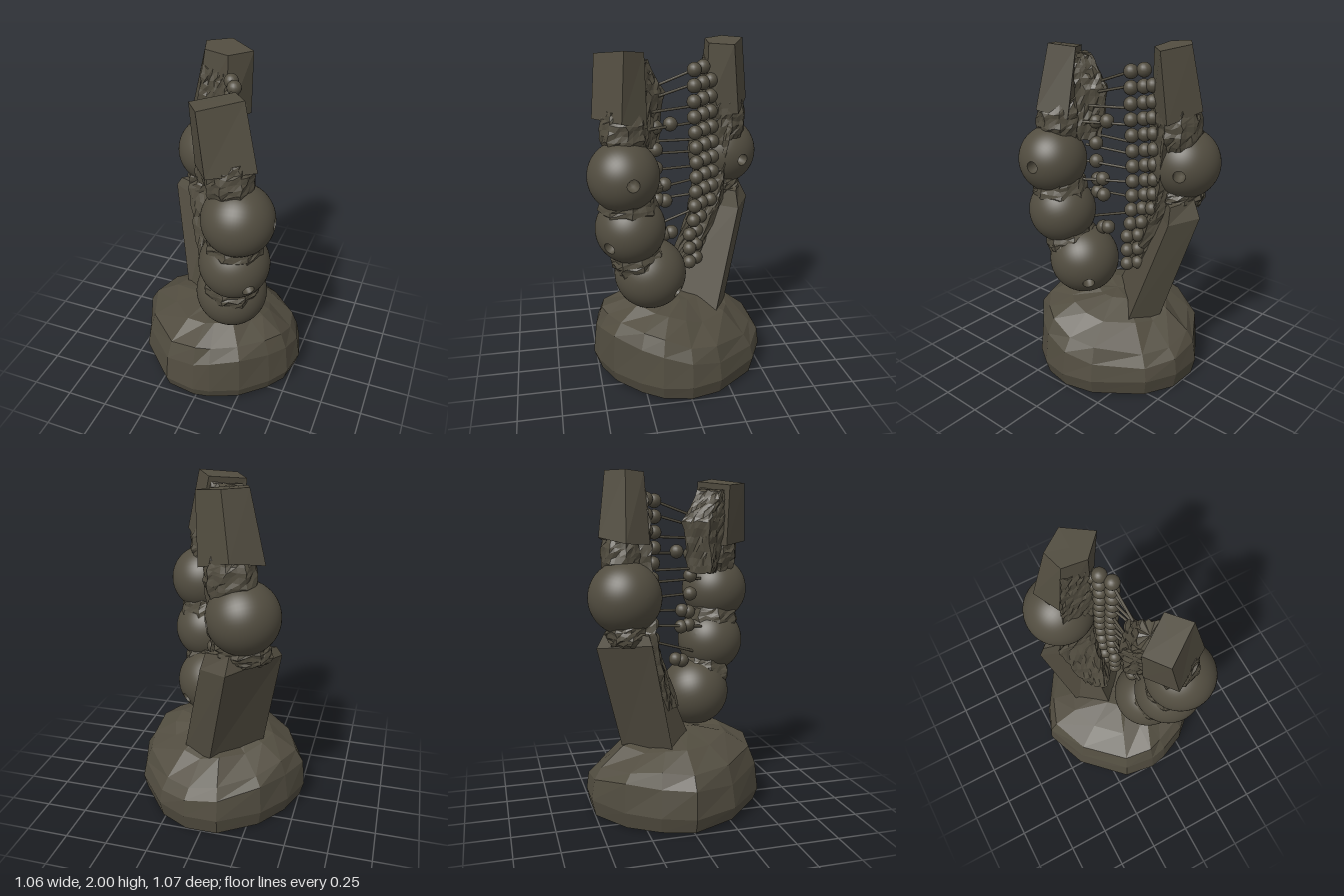
import * as THREE from 'three';

const stone = new THREE.MeshStandardMaterial({ color: 0x524d40, flatShading: true });
stone.name = 'dark stone';
const smoothStone = new THREE.MeshStandardMaterial({ color: 0x524d40 });
smoothStone.name = 'dark polished stone';

// Position-based noise in -1..1
function noise(x, y, z) {
  const s = Math.sin(x * 127.1 + y * 311.7 + z * 74.7) * 43758.5453;
  return (s - Math.floor(s)) * 2 - 1;
}

// Skin a stack of rings (points run from +x towards +z), capped at both ends.
// detail subdivides the walls, rough jitters the points.
function loft(name, keys, detail = 1, rough = 0) {
  const divide = (list, closed) => {
    const out = [];
    const n = closed ? list.length : list.length - 1;
    for (let i = 0; i < n; i++) {
      for (let k = 0; k < detail; k++) out.push([list[i], list[(i + 1) % list.length], k / detail]);
    }
    if (!closed) out.push([list[n], list[n], 0]);
    return out;
  };
  const around = keys.map((ring) => divide(ring.map((p) => new THREE.Vector3(...p)), true)
    .map(([a, b, t]) => a.clone().lerp(b, t)));
  const rings = divide(around, false).map(([a, b, t]) => a.map((p, i) => {
    const q = p.clone().lerp(b[i], t);
    const { x, y, z } = q;
    q.x += rough * noise(x, y, z);
    q.y += rough * noise(y, z, x);
    q.z += rough * noise(z, x, y);
    return q;
  }));
  const pos = [];
  const tri = (...v) => v.forEach((p) => pos.push(p.x, p.y, p.z));
  const n = rings[0].length;
  const middle = (ring) => ring.reduce((s, p) => s.add(p), new THREE.Vector3()).divideScalar(n);
  const low = rings[0], high = rings[rings.length - 1];
  const lowMid = middle(low), highMid = middle(high);
  for (let i = 0; i < n; i++) {
    const j = (i + 1) % n;
    for (let r = 0; r < rings.length - 1; r++) {
      const a = rings[r], b = rings[r + 1];
      tri(a[i], b[i], a[j]);
      tri(a[j], b[i], b[j]);
    }
    tri(lowMid, low[i], low[j]);
    tri(highMid, high[j], high[i]);
  }
  const geo = new THREE.BufferGeometry();
  geo.setAttribute('position', new THREE.Float32BufferAttribute(pos, 3));
  geo.computeVertexNormals();
  const mesh = new THREE.Mesh(geo, stone);
  mesh.name = name;
  return mesh;
}

// Rough boulder-like neck between stacked pieces
function neck(name, x, y, z, rx, h, rz) {
  const keys = [[-1, 0.8], [-0.3, 1], [0.4, 0.95], [1, 0.75]].map(([t, s]) =>
    Array.from({ length: 8 }, (_, i) => {
      const a = (i / 8) * Math.PI * 2;
      return [x + Math.cos(a) * rx * s, y + (t * h) / 2, z + Math.sin(a) * rz * s];
    }));
  return loft(name, keys, 3, 0.008);
}

// Ball with a drilled hole along a direction
function drilledBall(name, center, r, dir) {
  const hole = 0.035;
  const a0 = Math.asin(hole / r);
  const pts = [];
  for (let i = 0; i <= 32; i++) {
    const a = -Math.PI / 2 + (i / 32) * (Math.PI - a0);
    pts.push(new THREE.Vector2(Math.max(0, Math.cos(a) * r), Math.sin(a) * r));
  }
  pts.push(pts[32].clone(), new THREE.Vector2(hole * 0.95, r - 0.08), new THREE.Vector2(0, r - 0.08));
  const mesh = new THREE.Mesh(new THREE.LatheGeometry(pts, 48), smoothStone);
  mesh.quaternion.setFromUnitVectors(new THREE.Vector3(0, 1, 0), new THREE.Vector3(...dir).normalize());
  mesh.position.set(...center);
  mesh.name = name;
  return mesh;
}

// Faceted boulder base, higher towards the front, falling away on two opposite corners
function base() {
  const outline = [[0.53, 0], [0.5, 0.17], [0.42, 0.29], [0.27, 0.43], [0.1, 0.505], [0, 0.525], [-0.19, 0.495],
    [-0.43, 0.26], [-0.53, 0], [-0.46, -0.19], [-0.33, -0.37], [-0.1, -0.52], [0.1, -0.52], [0.28, -0.43], [0.48, -0.18]];
  const levels = [[0.015, 0.955, 0.03], [0.1, 1, 0], [0.29, 0.965, 0.08], [0.365, 0.88, 0.11], [0.435, 0.6, 0.08], [0.465, 0.25, 0.04]];
  return loft('base', levels.map(([y, s, tilt], k) => outline.map(([x, z]) => {
    const upper = k > 1 ? 1 : 0;
    const w = upper * 0.014 * noise(x, y, z);
    const drop = upper * 0.25 * Math.max(0, (Math.abs(x - z) / Math.SQRT2) * s - 0.2);
    return [x * (s + w), y + z * tilt + w - drop, z * (s + w)];
  })));
}

export function createModel() {
  const g = new THREE.Group();
  g.name = 'sculpture';
  g.add(base());

  // Back column: leaning block, rough spine, ball and top block
  g.add(loft('backLowerBlock', [
    [[0.185, 0.37, -0.21], [-0.09, 0.37, 0.11], [-0.265, 0.37, -0.06], [0, 0.37, -0.31]],
    [[0.03, 1.0, -0.38], [-0.15, 1.0, -0.15], [-0.4, 1.07, -0.22], [-0.14, 1.02, -0.48]],
    [[0.0, 1.1, -0.37], [-0.15, 1.1, -0.18], [-0.37, 1.12, -0.23], [-0.15, 1.12, -0.43]],
  ]));
  g.add(loft('backRoughFace', [
    [[0.0, 0.64, -0.08], [-0.1, 0.64, 0.02], [-0.2, 0.64, -0.07], [-0.06, 0.64, -0.25]],
    [[0.0, 1.05, -0.27], [-0.08, 1.05, -0.13], [-0.3, 1.1, -0.17], [-0.15, 1.1, -0.4]],
    [[0.0, 1.3, -0.3], [-0.06, 1.3, -0.18], [-0.25, 1.3, -0.18], [-0.2, 1.3, -0.4]],
    [[0.03, 1.62, -0.34], [-0.05, 1.62, -0.18], [-0.23, 1.62, -0.18], [-0.2, 1.62, -0.4]],
    [[0.02, 1.86, -0.33], [-0.06, 1.86, -0.2], [-0.2, 1.9, -0.2], [-0.18, 1.9, -0.36]],
  ], 8, 0.008));
  g.add(neck('backLowerNeck', -0.2, 1.12, -0.32, 0.17, 0.14, 0.12));
  g.add(drilledBall('backBall', [-0.2, 1.31, -0.325], 0.207, [0.18, -0.02, -0.085]));
  g.add(neck('backUpperNeck', -0.13, 1.54, -0.33, 0.15, 0.24, 0.12));
  g.add(loft('backTopBlock', [
    [[0.04, 1.58, -0.36], [-0.05, 1.58, -0.19], [-0.24, 1.6, -0.19], [-0.32, 1.61, -0.34], [-0.155, 1.64, -0.46]],
    [[0.06, 1.975, -0.32], [-0.05, 1.975, -0.2], [-0.19, 1.99, -0.21], [-0.225, 2.0, -0.32], [-0.1, 2.0, -0.41]],
  ]));

  // Front column: three balls, rough necks and top block
  g.add(drilledBall('frontLowerBall', [0.125, 0.667, 0.18], 0.212, [0.12, -0.08, -0.14]));
  g.add(neck('frontLowerNeck', 0.15, 0.79, 0.25, 0.17, 0.2, 0.165));
  g.add(drilledBall('frontMiddleBall', [0.183, 0.98, 0.3], 0.202, [0.127, -0.06, 0.13]));
  g.add(neck('frontMiddleNeck', 0.19, 1.13, 0.31, 0.17, 0.2, 0.17));
  g.add(drilledBall('frontUpperBall', [0.214, 1.3, 0.336], 0.202, [0.2, 0, -0.03]));
  g.add(neck('frontUpperNeck', 0.16, 1.54, 0.32, 0.14, 0.24, 0.14));
  g.add(loft('frontTopBlock', [
    [[0.32, 1.61, 0.35], [0.09, 1.6, 0.49], [-0.03, 1.58, 0.33], [0.22, 1.56, 0.2]],
    [[0.235, 1.975, 0.32], [0.035, 1.945, 0.46], [-0.055, 1.93, 0.335], [0.14, 1.955, 0.2]],
  ]));
  g.add(loft('frontRoughFace', [
    [[0.15, 1.42, 0.2], [0.05, 1.42, 0.3], [-0.07, 1.42, 0.22], [0.04, 1.42, 0.11]],
    [[0.15, 1.72, 0.2], [0.0, 1.72, 0.34], [-0.1, 1.72, 0.2], [0.02, 1.72, 0.07]],
    [[0.14, 1.92, 0.22], [0.02, 1.9, 0.35], [-0.05, 1.9, 0.28], [0.04, 1.9, 0.17]],
  ], 7, 0.008));

  // Strings of beads hanging along the back column
  const beadGeo = new THREE.SphereGeometry(0.042, 18, 12);
  const bead = (name, x, y, z) => {
    const m = new THREE.Mesh(beadGeo, smoothStone);
    m.position.set(x, y, z);
    m.name = name;
    g.add(m);
  };
  // The strings bow back around mid height and forward near the bottom
  const bow = (y) => {
    if (y < 0.9) return -0.08;
    return y < 1.6 ? -0.1 - 0.018 * Math.sin((y - 0.9) * 4.5) : -0.1;
  };
  for (let i = 0; i < 14; i++) {
    const y = 0.67 + i * 0.09;
    bead('outerBead', 0.025, y, bow(y));
    bead('middleBead', -0.015, y + 0.01, bow(y) - (y < 1.05 ? 0.05 : 0.06));
    if (i > 3 && i < 13) bead('innerBead', -0.03, y + 0.02, bow(y) - 0.11);
  }

  // Beads close to the front column
  for (const [y, z] of [[1.545, 0.045], [1.53, 0.13], [1.4, 0.13], [1.29, 0.13], [1.19, 0.08], [1.18, 0.12],
    [1.09, 0.075], [1.1, 0.12], [0.89, 0.04], [0.88, 0.08]]) {
    bead('frontBead', 0.06, y, z);
  }

  // Thin strands spanning the gap
  const strands = [[1.84, 1.73], [1.76, 1.68], [1.635, 1.62], [1.54, 1.53], [1.44, 1.445], [1.37, 1.38],
    [1.28, 1.29], [1.2, 1.18], [1.11, 1.09], [1.01, 0.92]];
  strands.forEach(([yBack, yFront], i) => {
    const curve = new THREE.LineCurve3(
      new THREE.Vector3(0.02, yBack, -0.1), new THREE.Vector3(0.04 + 0.03 * (i % 4), yFront, 0.2));
    const m = new THREE.Mesh(new THREE.TubeGeometry(curve, 1, 0.008, 8), smoothStone);
    m.name = 'strand';
    g.add(m);
  });
  return g;
}
